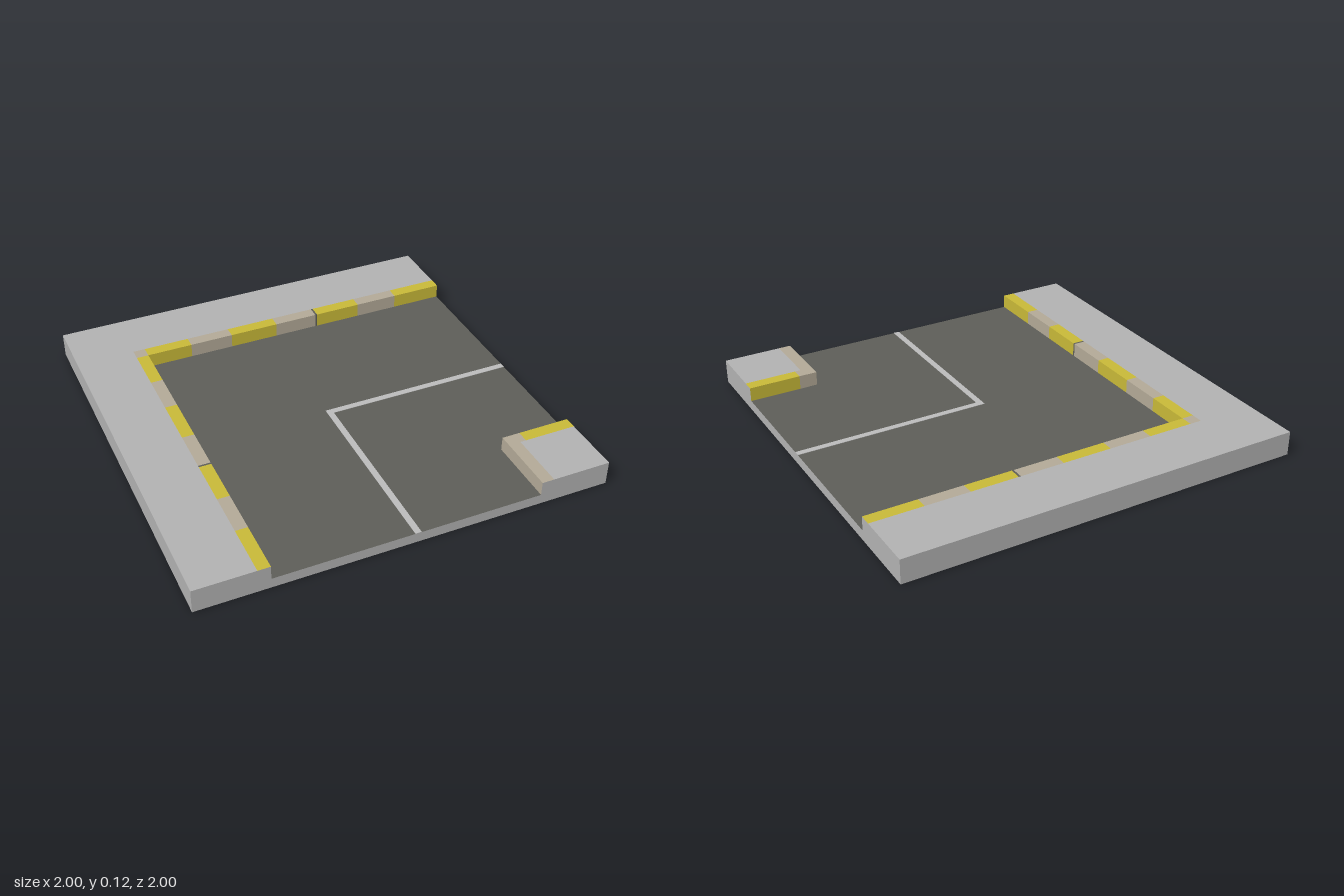
import * as THREE from 'three';

const mat = (name, color) => new THREE.MeshStandardMaterial({ name, color });

export function createModel() {
  const concrete = mat('concrete', 0xb2b2b2);
  const asphalt = mat('asphalt', 0x5e5e58);
  const yellow = mat('curb yellow', 0xc9ba38);
  const tan = mat('curb tan', 0xb3aa97);
  const lineGrey = mat('lane line', 0xbcbcbc);
  const underGrey = mat('underside patch', 0x999999);

  const group = new THREE.Group();
  group.name = 'cornerRoadTile';
  const ROAD = 0.05, TOP = 0.12, IN = 0.65, OUT = 0.71;

  // Box given by its limits on each axis
  const box = (name, material, x0, x1, y0, y1, z0, z1) => {
    const mesh = new THREE.Mesh(new THREE.BoxGeometry(x1 - x0, y1 - y0, z1 - z0), material);
    mesh.position.set((x0 + x1) / 2, (y0 + y1) / 2, (z0 + z1) / 2);
    mesh.name = name;
    group.add(mesh);
    return mesh;
  };

  // Base slab: concrete sides, asphalt surface on top
  box('roadBase', [concrete, concrete, asphalt, concrete, concrete, concrete],
    -1, 1, 0, ROAD, -1, 1);

  // Raised pavement: L along back and side, plus the inner corner block
  box('backPavement', concrete, -1, 1, ROAD, TOP, -1, -OUT);
  box('sidePavement', concrete, -1, -OUT, ROAD, TOP, -OUT, 1);
  box('cornerPavement', concrete, OUT, 1, ROAD, TOP, OUT, 1);

  // Faces cut by the tile edge stay concrete: index 0 is +x, index 4 is +z
  const cut = (material, face) => Array.from({ length: 6 }, (_, i) => (i === face ? concrete : material));

  // Painted curbs, alternating along both outer edges
  const marks = [-IN, -0.42, -0.2, 0.05, 0.272, 0.282, 0.52, 0.74, 1];
  const paints = [yellow, tan, yellow, tan, asphalt, yellow, tan, yellow];
  paints.forEach((paint, i) => {
    const a = marks[i], b = marks[i + 1], end = i === paints.length - 1;
    box('backCurb', end ? cut(paint, 0) : paint, a, b, ROAD, TOP, -OUT, -IN);
    box('sideCurb', end ? cut(paint, 4) : paint, -OUT, -IN, ROAD, TOP, a, b);
  });
  box('curbCorner', tan, -OUT, -IN, ROAD, TOP, -OUT, -IN);

  // Curb around the inner corner block
  box('innerCurbSide', cut(tan, 4), IN, OUT, ROAD, TOP, IN, 1);
  box('innerCurbTan', tan, OUT, 0.74, ROAD, TOP, IN, OUT);
  box('innerCurbYellow', cut(yellow, 0), 0.74, 1, ROAD, TOP, IN, OUT);

  // Thin lane line turning the corner
  box('laneLineAcross', lineGrey, 0.02, 1, ROAD, ROAD + 0.002, 0.05, 0.08);
  box('laneLineAlong', lineGrey, 0.02, 0.05, ROAD, ROAD + 0.002, 0.08, 1);

  // Darker patch on the underside
  const patch = new THREE.Mesh(new THREE.PlaneGeometry(0.57, 0.4), underGrey);
  patch.rotation.x = Math.PI / 2;
  patch.position.set(-0.385, -0.001, 0.8);
  patch.name = 'undersidePatch';
  group.add(patch);

  return group;
}
